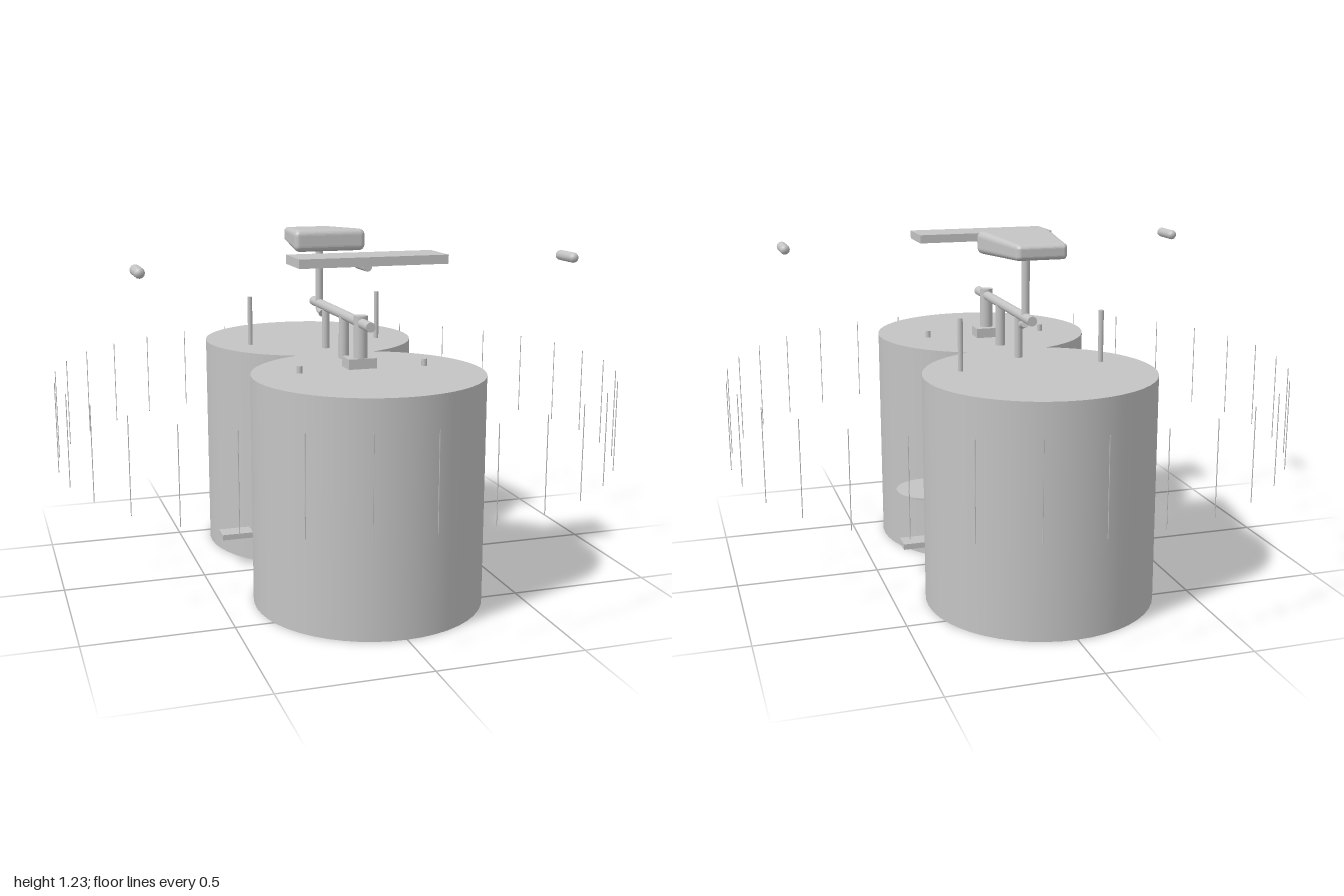
import * as THREE from 'three';
import { RoundedBoxGeometry } from 'three/addons/geometries/RoundedBoxGeometry.js';

export function createModel() {
  const group = new THREE.Group();
  const grey = new THREE.MeshStandardMaterial({ color: 0xc4c4c4 });
  grey.name = 'plain grey';

  const add = (name, geometry, x, y, z) => {
    const mesh = new THREE.Mesh(geometry, grey);
    mesh.name = name;
    mesh.position.set(x, y, z);
    group.add(mesh);
    return mesh;
  };
  // Upright rod between two heights
  const post = (name, r, x, z, y0, y1, sides = 16) =>
    add(name, new THREE.CylinderGeometry(r, r, y1 - y0, sides), x, (y0 + y1) / 2, z);
  // Rod lying along z
  const bar = (name, r, x, y, z0, z1) =>
    add(name, new THREE.CylinderGeometry(r, r, z1 - z0, 16).rotateX(Math.PI / 2), x, y, (z0 + z1) / 2);
  // Round-ended rod lying along z
  const capsule = (name, r, x, y, z0, z1) =>
    add(name, new THREE.CapsuleGeometry(r, z1 - z0 - 2 * r, 4, 12).rotateX(Math.PI / 2), x, y, (z0 + z1) / 2);

  // Two large drums
  post('frontDrum', 0.394, 0, 0.365, 0, 0.79, 48);
  post('rearDrum', 0.394, 0, -0.365, 0, 0.79, 48);

  // Ring of hair-thin upright spokes
  for (let i = 0; i < 32; i++) {
    const a = (i / 32) * Math.PI * 2;
    post('spoke', 0.0015, Math.sin(a) * 0.998, Math.cos(a) * 0.998, 0.43, 0.745, 6);
  }

  // Frame tubes
  bar('topTube', 0.017, 0, 0.945, -0.28, 0.385);
  post('headTube', 0.024, 0, 0.28, 0.79, 0.97);
  add('forkCrown', new THREE.BoxGeometry(0.1, 0.035, 0.075), 0, 0.808, 0.268);
  post('downTube', 0.018, 0, 0.095, 0.7, 0.94);
  post('seatTube', 0.014, 0, -0.125, 0.7, 0.94);
  post('seatPost', 0.014, 0, -0.205, 0.925, 1.17);
  const clamp = bar('seatClamp', 0.014, 0, 0.918, -0.2, -0.165);
  clamp.rotation.x = 0.3;

  // Handlebar and stem
  add('handlebar', new THREE.BoxGeometry(0.51, 0.03, 0.16), 0, 1.166, 0.345);
  bar('stem', 0.015, 0, 1.14, 0.25, 0.35);

  // Saddle: rounded block tapering towards the back
  const saddle = new RoundedBoxGeometry(0.27, 0.08, 0.33, 4, 0.022);
  const p = saddle.attributes.position;
  for (let i = 0; i < p.count; i++) {
    const t = 0.5 - p.getZ(i) / 0.33;
    p.setX(i, p.getX(i) * (1 - 0.36 * t));
    p.setY(i, p.getY(i) * (1 - 0.36 * t));
  }
  saddle.computeVertexNormals();
  add('saddle', saddle, 0, 1.191, -0.222);

  // Paired parts
  for (const s of [1, -1]) {
    capsule('grip', 0.018, s * 0.75, 1.148, 0.245, 0.372);
    post('stayRod', 0.009, s * 0.25, -0.275, 0.7, 0.97, 12);
    post('forkLeg', 0.01, s * 0.222, 0.305, 0.7, 0.815, 12);
    capsule('crank', 0.012, s * 0.25, 0.36, -0.07, 0.025);
    add('pedal', new THREE.BoxGeometry(0.115, 0.02, 0.07), s * 0.363, 0.12, -0.074);
  }

  // Flat disc beside the rear drum
  post('chainDisc', 0.113, 0.32, -0.073, 0.312, 0.32, 40);

  return group;
}
